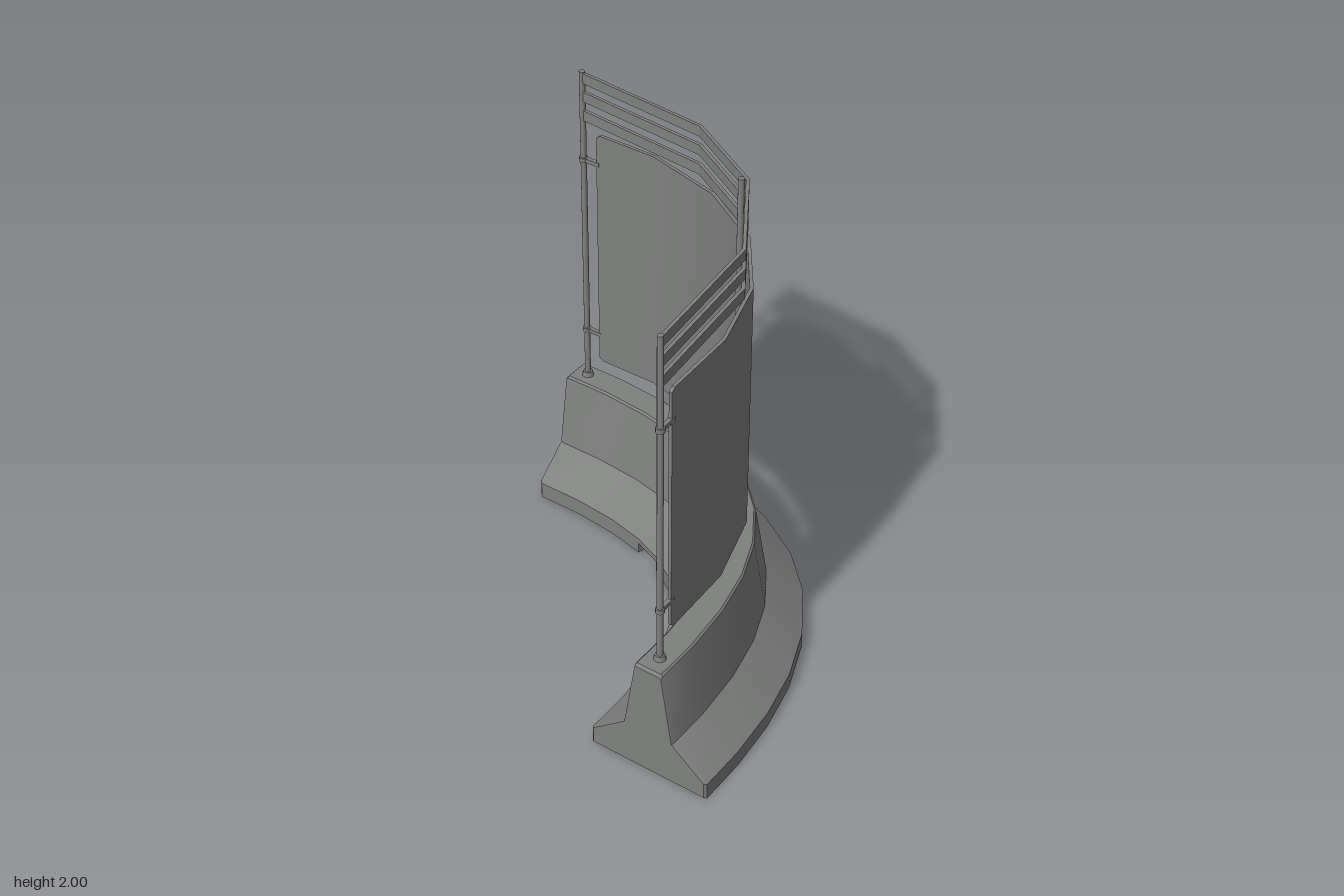
import * as THREE from 'three';
import { toCreasedNormals } from 'three/addons/utils/BufferGeometryUtils.js';

const grey = new THREE.MeshStandardMaterial({ color: 0x7f817f });
grey.name = 'concrete grey';

// Collects quads and fans, skinning cross-section rings along a path
function loft(rings, crease, notches = []) {
  const pos = [];
  const tri = (...p) => p.forEach(v => pos.push(v.x, v.y, v.z));
  const quad = (a, b, c, d) => { tri(a, b, c); tri(a, c, d); };
  const n = rings[0].length;
  for (let i = 0; i < rings.length - 1; i++) {
    const r = rings[i], s = rings[i + 1], notched = notches.includes(i);
    for (let j = 0; j < n; j++) {
      if (notched && (j === 0 || j >= n - 2)) continue;
      const k = (j + 1) % n;
      quad(r[j], s[j], s[k], r[k]);
    }
    if (notched) { // ceiling and two walls of a slot under the base
      quad(r[n - 2], s[n - 2], s[1], r[1]);
      quad(r[n - 1], r[n - 2], r[1], r[0]);
      quad(s[0], s[1], s[n - 2], s[n - 1]);
    }
  }
  const cap = (ring, flip) => {
    const c = ring.reduce((a, v) => a.add(v), new THREE.Vector3()).divideScalar(n);
    ring.forEach((v, j) => {
      const w = ring[(j + 1) % n];
      flip ? tri(c, w, v) : tri(c, v, w);
    });
  };
  cap(rings[0], false);
  cap(rings[rings.length - 1], true);
  const geo = new THREE.BufferGeometry();
  geo.setAttribute('position', new THREE.Float32BufferAttribute(pos, 3));
  return toCreasedNormals(geo, crease);
}

// One cross-section: [offset, height] pairs standing at x, z along direction nx, nz
const section = (x, z, nx, nz, profile) =>
  profile.map(([o, y]) => new THREE.Vector3(x + nx * o, y, z + nz * o));

function barrierGeometry() {
  // inner x, z and outer x, z of half the bend; the other half swaps x and z
  const half = [
    [-0.79, 0.265, -0.79, 0.797], [-0.594, 0.265, -0.58, 0.795], [-0.397, 0.248, -0.342, 0.77],
    [-0.235, 0.21, -0.111, 0.722], [-0.11, 0.158, 0.115, 0.637], [0.002, 0.092, 0.333, 0.496],
  ];
  const stations = [...half, ...half.map(([a, b, c, d]) => [b, a, d, c]).reverse()];
  const side = [[0.266, 0], [0.266, 0.05], [0.266, 0.075], [0.112, 0.2], [0.062, 0.517], [0.054, 0.525]];
  const profile = [...side, ...side.map(([o, y]) => [-o, y]).reverse()];
  const inset = profile.map(([o, y]) => [o * 0.965, 0.2 + (y - 0.2) * 0.965]);
  const rings = stations.map(([ix, iz, ox, oz]) => {
    const l = Math.hypot(ox - ix, oz - iz);
    return section((ix + ox) / 2, (iz + oz) / 2, (ox - ix) / l, (oz - iz) / l, profile);
  });
  // slightly bevelled ends
  rings.unshift(section(-0.8, 0.531, 0, 1, inset));
  rings.push(section(0.531, -0.8, 1, 0, inset));
  return loft(rings, 0.45, [5, 8]);
}

// Upright strip following a plan path of [x, z] points, with optional clipped corners
function ribbon(path, y0, y1, thickness, crease, corner = 0) {
  const h = thickness / 2, last = path.length - 1;
  return loft(path.map(([x, z], i) => {
    const a = path[Math.max(i - 1, 0)], b = path[Math.min(i + 1, last)];
    const tx = b[0] - a[0], tz = b[1] - a[1], l = Math.hypot(tx, tz);
    const c = i === 0 || i === last ? corner : 0;
    return section(x, z, -tz / l, tx / l, [[h, y0 + c], [h, y1 - c], [-h, y1 - c], [-h, y0 + c]]);
  }), crease);
}

export function createModel() {
  const model = new THREE.Group();
  model.name = 'curvedBarrier';
  const add = (name, geo, x = 0, y = 0, z = 0, parent = model) => {
    const m = new THREE.Mesh(geo, grey);
    m.name = name;
    m.position.set(x, y, z);
    parent.add(m);
    return m;
  };

  add('concreteBase', barrierGeometry());

  // Curved screen
  add('screenPanel', ribbon([
    [-0.662, 0.532], [-0.645, 0.532], [-0.316, 0.519], [0, 0.425], [0.27, 0.232],
    [0.442, -0.045], [0.53, -0.38], [0.532, -0.645], [0.532, -0.662],
  ], 0.635, 1.738, 0.014, 0.6, 0.015));

  // Three rails above the screen
  const railPath = [[-0.72, 0.532], [-0.125, 0.47], [0.26, 0.228], [0.47, -0.125], [0.532, -0.73]];
  [[1.95, 1.995], [1.868, 1.912], [1.782, 1.828]].forEach(([y0, y1], i) =>
    add('topRail' + (i + 1), ribbon(railPath, y0, y1, 0.014, 0.3)));

  // Posts with feet
  const postGeo = new THREE.CylinderGeometry(0.0125, 0.0125, 1.475, 12);
  const footGeo = new THREE.CylinderGeometry(0.02, 0.025, 0.022, 12);
  const posts = { rightPost: [-0.722, 0.532], middlePost: [0.245, 0.21], leftPost: [0.532, -0.73] };
  for (const [name, [x, z]] of Object.entries(posts)) {
    add(name, postGeo, x, 1.2625, z);
    add(name + 'Foot', footGeo, x, 0.535, z);
  }

  // Clips holding the screen to the end posts
  const collarGeo = new THREE.CylinderGeometry(0.018, 0.018, 0.02, 12);
  const armGeo = new THREE.BoxGeometry(0.08, 0.018, 0.018);
  for (const y of [0.765, 1.6]) {
    for (const [x, z, turn] of [[-0.722, 0.532, 0], [0.532, -0.73, -Math.PI / 2]]) {
      const clip = new THREE.Group();
      clip.name = 'screenClip';
      clip.position.set(x, y, z);
      clip.rotation.y = turn;
      add('clipCollar', collarGeo, 0, 0, 0, clip);
      add('clipArm', armGeo, 0.04, 0, 0, clip);
      model.add(clip);
    }
  }
  return model;
}
